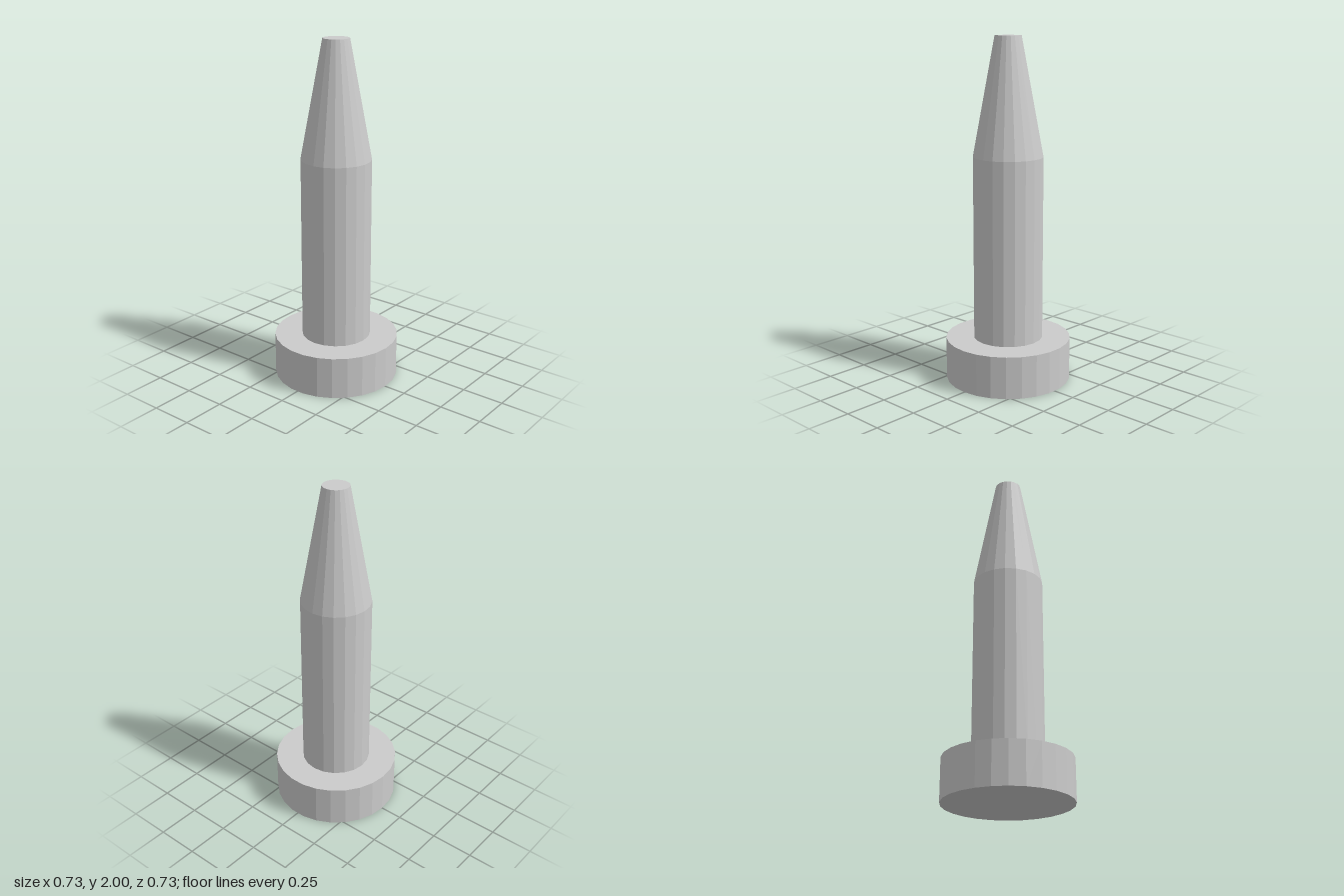
import * as THREE from 'three';

const BASE_R = 0.366, BASE_TOP = 0.247;
const SHAFT_R = 0.203, SHAFT_TOP = 1.32;
const TIP_R = 0.076, TIP_TOP = 2;

export function createModel() {
  const group = new THREE.Group();
  const material = new THREE.MeshStandardMaterial({ color: 0xcccccc, flatShading: true });

  const add = (name, geometry) => {
    const mesh = new THREE.Mesh(geometry, material);
    mesh.name = name;
    group.add(mesh);
  };

  // Wide 26-sided base disc, with corners on the x axis
  const base = new THREE.CylinderGeometry(BASE_R, BASE_R, BASE_TOP, 26);
  base.rotateY(Math.PI / 2).translate(0, BASE_TOP / 2, 0);
  add('base', base);

  // 20-sided pin: straight shaft, tapered point and flat tip in one profile
  const profile = [
    [SHAFT_R, BASE_TOP],
    [SHAFT_R, SHAFT_TOP],
    [TIP_R, TIP_TOP],
    [0, TIP_TOP],
  ].map(([r, y]) => new THREE.Vector2(r, y));
  add('taperedPin', new THREE.LatheGeometry(profile, 20));

  return group;
}
